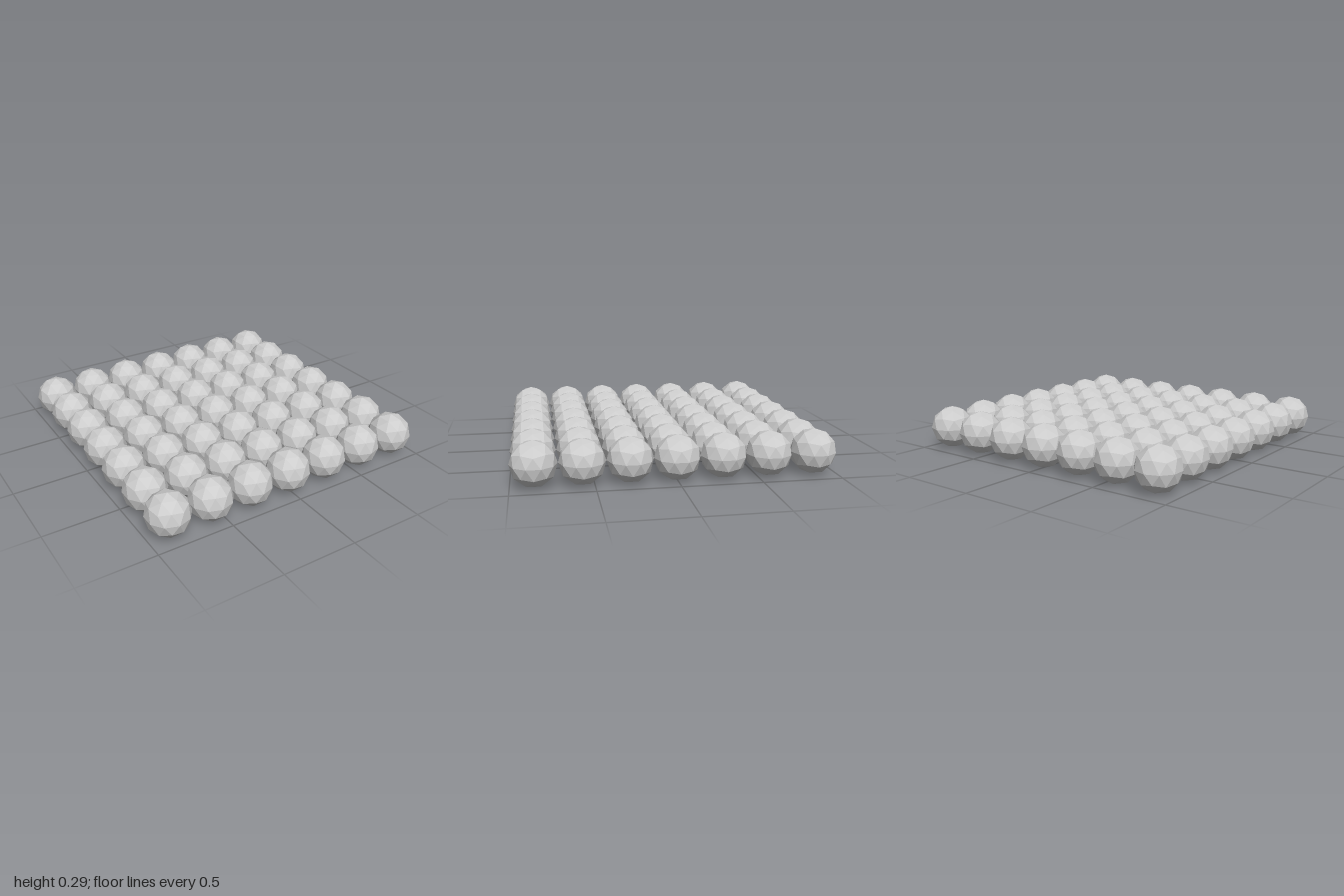
import * as THREE from 'three';

const COUNT = 7;               // balls per side
const SPACING = 2 / COUNT;
const RADIUS = SPACING / 2;

// Faceted 80-sided ball with one corner at the top pole
function makeBallGeometry() {
  const phi = (1 + Math.sqrt(5)) / 2;
  const geometry = new THREE.IcosahedronGeometry(RADIUS, 1);
  geometry.rotateZ(-Math.atan(1 / phi));
  geometry.computeVertexNormals(); // unshared corners give flat facets
  return geometry;
}

export function createModel() {
  const model = new THREE.Group();
  model.name = 'ballGrid';

  const grey = new THREE.MeshStandardMaterial({ color: 0xcccccc });
  grey.name = 'light grey';
  const ball = makeBallGeometry();

  // Square grid of touching balls, row by row from back to front
  for (let row = 0; row < COUNT; row++) {
    const rowGroup = new THREE.Group();
    rowGroup.name = `row${row + 1}`;
    rowGroup.position.z = (row - (COUNT - 1) / 2) * SPACING;
    for (let column = 0; column < COUNT; column++) {
      const mesh = new THREE.Mesh(ball, grey);
      mesh.name = `ball${column + 1}`;
      mesh.position.set((column - (COUNT - 1) / 2) * SPACING, RADIUS, 0);
      rowGroup.add(mesh);
    }
    model.add(rowGroup);
  }
  return model;
}
